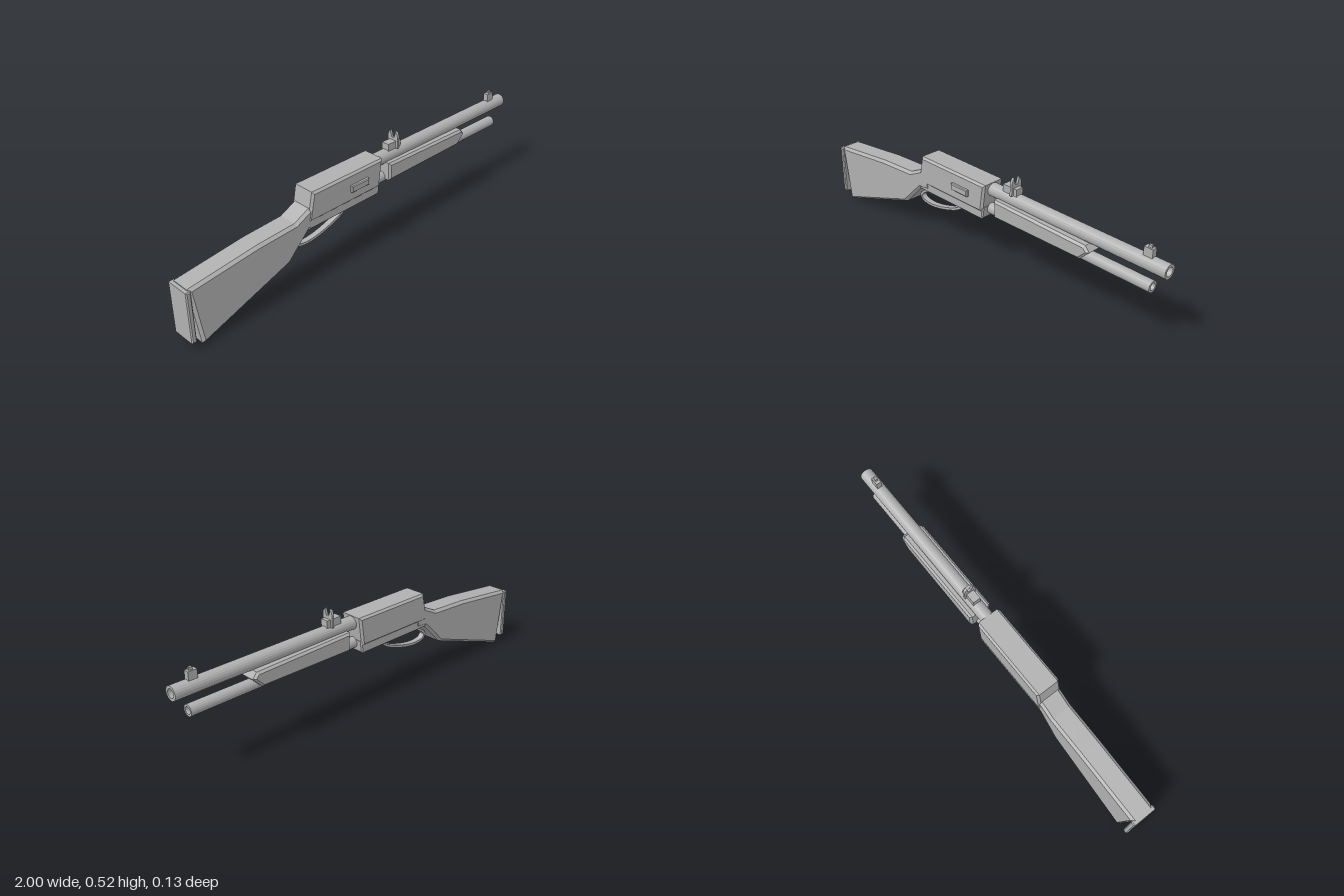
import * as THREE from 'three';

const CENTRE_Z = -0.006;

export function createModel() {
  const model = new THREE.Group();
  model.name = 'leverRifle';
  const grey = new THREE.MeshStandardMaterial({ color: 0xb0b0b0, flatShading: true });
  grey.name = 'plain grey';

  function add(name, geometry, x = 0, y = 0, z = CENTRE_Z) {
    const mesh = new THREE.Mesh(geometry, grey);
    mesh.name = name;
    mesh.position.set(x, y, z);
    model.add(mesh);
    return mesh;
  }

  const toShape = (points) => new THREE.Shape(points.map(([x, y]) => new THREE.Vector2(x, y)));

  // Side outline given a thickness along z, with chamfered edges inside the outline
  function slab(shape, halfDepth, bevel = 0) {
    const geometry = new THREE.ExtrudeGeometry(shape, {
      depth: 2 * (halfDepth - bevel),
      bevelEnabled: bevel > 0,
      bevelSegments: 1,
      bevelSize: bevel,
      bevelThickness: bevel,
      bevelOffset: -bevel,
      curveSegments: 8,
    });
    return geometry.translate(0, 0, -(halfDepth - bevel));
  }

  // Tube along x with an open bore at its front end
  function boredTube(start, end, radius, bore, depth) {
    const profile = [
      [0, start], [radius, start], [radius, end], [bore, end], [bore, end - depth], [0, end - depth],
    ].map(([r, h]) => new THREE.Vector2(r, h));
    return new THREE.LatheGeometry(profile, 20).rotateZ(-Math.PI / 2);
  }

  // Shoulder stock and butt plate
  add('stock', slab(toShape([
    [-0.945, 0], [-0.48, 0.16], [-0.365, 0.277], [-0.3, 0.285], [-0.3, 0.4],
    [-0.36, 0.375], [-0.44, 0.336], [-0.64, 0.326], [-0.985, 0.288],
  ]), 0.056, 0.013));
  add('buttPlate', slab(toShape([
    [-1, 0.035], [-0.976, 0.035], [-0.976, 0.283], [-1, 0.283],
  ]), 0.06, 0.005));

  // Receiver, lower frame and bolt cover
  add('receiver', slab(toShape([
    [-0.372, 0.313], [0.056, 0.313], [0.073, 0.45], [-0.345, 0.45],
  ]), 0.06, 0.01));
  add('lowerFrame', slab(toShape([
    [-0.37, 0.274], [0.048, 0.274], [0.056, 0.283], [0.062, 0.335], [-0.36, 0.335],
  ]), 0.054, 0.006));
  add('boltCover', slab(toShape([
    [-0.13, 0.364], [-0.025, 0.364], [-0.025, 0.396], [-0.13, 0.396],
  ]), 0.014, 0.004), 0, 0, 0.054);

  // Barrel and magazine tube
  add('barrel', boredTube(0.04, 1, 0.032, 0.02, 0.06), 0, 0.415);
  add('magazineTube', boredTube(0.04, 0.935, 0.026, 0.016, 0.06), 0, 0.317);

  // Fore-end grip
  add('foreEnd', slab(toShape([
    [0.125, 0.312], [0.61, 0.317], [0.657, 0.364], [0.635, 0.39], [0.125, 0.4],
  ]), 0.056, 0.01));

  // Rear sight: base block and two curved ears
  add('rearSightBase', new THREE.BoxGeometry(0.08, 0.035, 0.038), 0.19, 0.459);
  const ears = slab(toShape([
    [-0.029, 0.44], [0.029, 0.44], [0.029, 0.498], [0.023, 0.515], [0.014, 0.523],
    [0.014, 0.513], [0.007, 0.49], [-0.007, 0.49], [-0.014, 0.513], [-0.014, 0.523],
    [-0.023, 0.515], [-0.029, 0.498],
  ]), 0.006).rotateY(Math.PI / 2);
  add('rearSightEars', ears, 0.205);

  // Front sight: block and bead
  add('frontSightBlock', new THREE.BoxGeometry(0.042, 0.042, 0.025), 0.905, 0.462);
  add('frontSightBead', new THREE.BoxGeometry(0.016, 0.016, 0.011), 0.908, 0.487);

  // Lever loop: a closed curve with an inward offset as its opening
  const loop = new THREE.CatmullRomCurve3([
    [-0.4, 0.188], [-0.34, 0.177], [-0.22, 0.2], [-0.13, 0.24], [-0.105, 0.276],
    [-0.16, 0.282], [-0.27, 0.281], [-0.36, 0.258], [-0.414, 0.216],
  ].map(([x, y]) => new THREE.Vector3(x, y, 0)), true, 'centripetal');
  const outer = [];
  const inner = [];
  for (let i = 0; i < 48; i++) {
    const p = loop.getPoint(i / 48);
    const t = loop.getTangent(i / 48);
    outer.push(new THREE.Vector2(p.x, p.y));
    inner.push(new THREE.Vector2(p.x - t.y * 0.012, p.y + t.x * 0.012));
  }
  const loopShape = new THREE.Shape(outer);
  loopShape.holes.push(new THREE.Path(inner));
  add('leverLoop', slab(loopShape, 0.014));

  // Trigger
  add('trigger', slab(toShape([
    [-0.245, 0.25], [-0.232, 0.25], [-0.222, 0.265], [-0.222, 0.285], [-0.237, 0.285], [-0.236, 0.266],
  ]), 0.007));

  return model;
}
